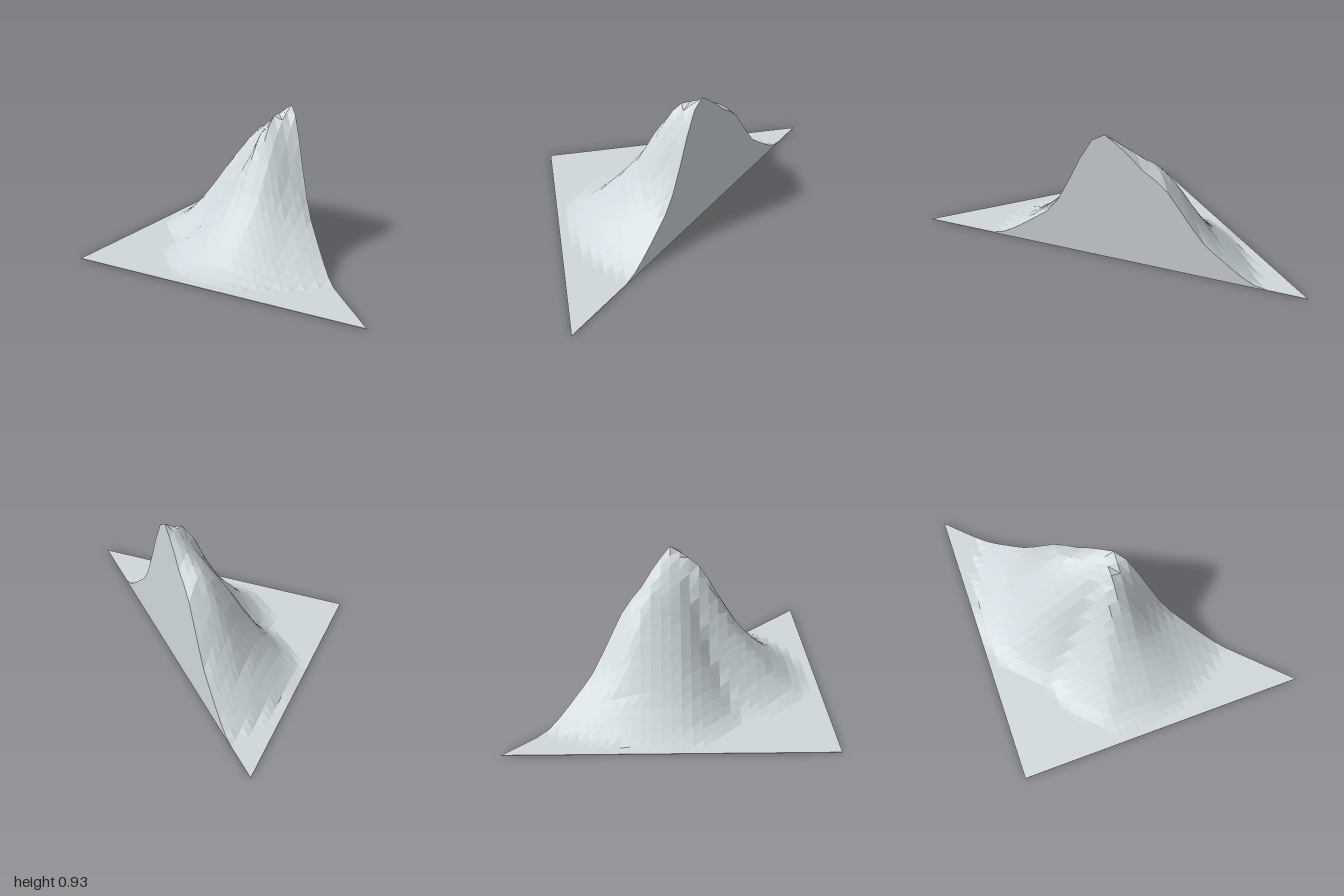
import * as THREE from 'three';

const CELLS = 32;   // grid cells along each short side
const PLAIN = 0.004; // thickness of the flat ground
const PEAK = 0.93;

// Spokes around the peak: angle from +x towards +z, foot radius,
// heights at each eighth of the way from the peak to the foot
const SPOKES = [
  { angle: 45, foot: 0.86, h: [0.87, 0.66, 0.42, 0.28, 0.2, 0.12, 0.05] },
  { angle: 65, foot: 0.88, h: [0.86, 0.64, 0.45, 0.31, 0.21, 0.12, 0.05] },
  { angle: 90, foot: 0.92, h: [0.86, 0.73, 0.55, 0.37, 0.25, 0.15, 0.06] },
  { angle: 112, foot: 0.96, h: [0.9, 0.79, 0.57, 0.39, 0.26, 0.14, 0.05] },
  { angle: 130, foot: 0.9, h: [0.87, 0.74, 0.53, 0.36, 0.22, 0.11, 0.03] },
  { angle: 145, foot: 0.79, h: [0.86, 0.73, 0.56, 0.4, 0.26, 0.14, 0.05] },
  { angle: 172, foot: 0.95, h: [0.84, 0.73, 0.6, 0.47, 0.31, 0.17, 0.06] },
  { angle: 205, foot: 1.0, h: [0.85, 0.77, 0.71, 0.56, 0.37, 0.2, 0.1] },
  { angle: 225, foot: 1.1, h: [0.84, 0.71, 0.63, 0.45, 0.27, 0.165, 0.07] },
];

function spokeHeight(spoke, u) {
  const h = [PEAK, ...spoke.h, 0, 0];
  const s = Math.min(u, 1) * 8;
  const k = Math.min(Math.floor(s), 7);
  return THREE.MathUtils.lerp(h[k], h[k + 1], s - k);
}

// Height of the terrain, blended between the two nearest spokes
function height(x, z) {
  const r = Math.hypot(x, z);
  if (r < 1e-6) return PEAK;
  let angle = THREE.MathUtils.radToDeg(Math.atan2(z, x));
  if (angle < 0) angle += 360;
  let k = 0;
  while (k < SPOKES.length - 2 && angle > SPOKES[k + 1].angle) k++;
  const a = SPOKES[k], b = SPOKES[k + 1];
  const t = THREE.MathUtils.clamp((angle - a.angle) / (b.angle - a.angle), 0, 1);
  const u = r / THREE.MathUtils.lerp(a.foot, b.foot, t);
  return Math.max(PLAIN, THREE.MathUtils.lerp(spokeHeight(a, u), spokeHeight(b, u), t));
}

function gridPoint(i, j) {
  const x = -1 + (2 * i) / CELLS, z = -1 + (2 * j) / CELLS;
  return [x, height(x, z), z];
}

function meshFrom(name, triangles, material) {
  const geometry = new THREE.BufferGeometry();
  geometry.setAttribute('position', new THREE.Float32BufferAttribute(triangles.flat(2), 3));
  geometry.computeVertexNormals();
  const mesh = new THREE.Mesh(geometry, material);
  mesh.name = name;
  return mesh;
}

// Upright wall under a row of terrain points, facing right of the row
function wall(points) {
  const down = ([x, , z]) => [x, 0, z];
  const triangles = [];
  for (let k = 0; k < points.length - 1; k++) {
    const p = points[k], q = points[k + 1];
    triangles.push([p, q, down(p)], [q, down(q), down(p)]);
  }
  return triangles;
}

export function createModel() {
  const group = new THREE.Group();
  group.name = 'mountainSection';
  const stone = new THREE.MeshStandardMaterial({ color: 0xcfd8dc });
  stone.name = 'paleStone';

  // Mountain slopes and flat ground over half of a square grid
  const terrain = [];
  for (let j = 0; j < CELLS; j++) {
    for (let i = 0; i <= j; i++) {
      const a = gridPoint(i, j), b = gridPoint(i, j + 1);
      const c = gridPoint(i + 1, j + 1), d = gridPoint(i + 1, j);
      terrain.push([a, b, c]);
      if (i < j) terrain.push([a, c, d]);
    }
  }
  group.add(meshFrom('terrain', terrain, stone));

  // Diagonal cut through the peak and the two thin outer edges
  const steps = Array.from({ length: CELLS + 1 }, (_, k) => k);
  group.add(meshFrom('cutFace', wall(steps.map((k) => gridPoint(k, k))), stone));
  group.add(meshFrom('frontEdge', wall(steps.map((k) => gridPoint(CELLS - k, CELLS))), stone));
  group.add(meshFrom('rightEdge', wall(steps.map((k) => gridPoint(0, CELLS - k))), stone));

  // Flat underside
  group.add(meshFrom('underside', [[[-1, 0, -1], [1, 0, 1], [-1, 0, 1]]], stone));
  return group;
}
